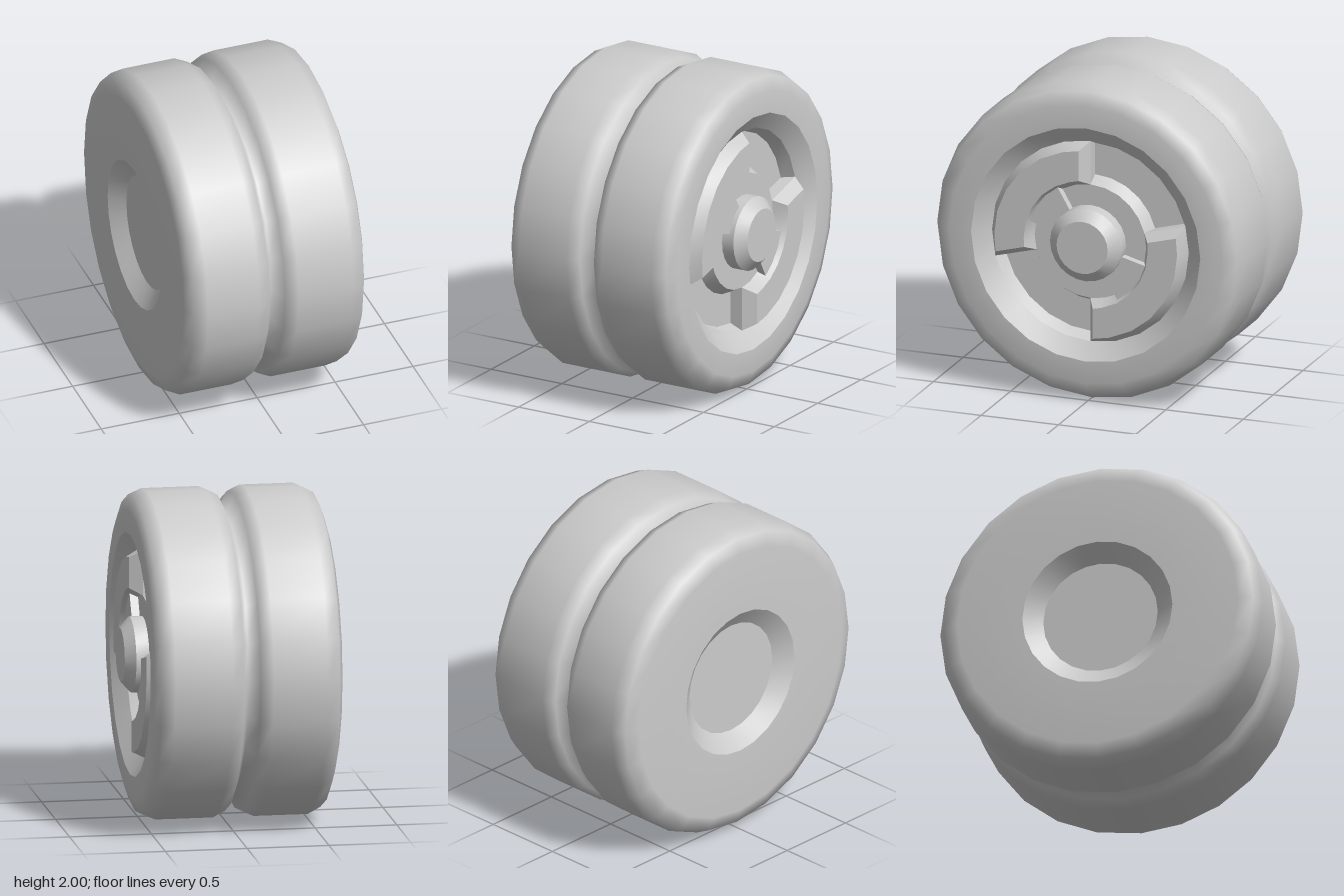
import * as THREE from 'three';
import { toCreasedNormals } from 'three/addons/utils/BufferGeometryUtils.js';

const SIDES = 24;
const STEP = 15; // degrees per side
const FACE = 0.545, BASE = 0.465, FLOOR = 0.385, WEDGE = 0.515; // x levels of the hub

const material = new THREE.MeshStandardMaterial({ color: 0xcccccc });

// Turned part about the x axis; profile points are [radius, x]
function turned(name, profile, smooth) {
  let geo = new THREE.LatheGeometry(profile.map(([r, x]) => new THREE.Vector2(r, x)), SIDES);
  geo.rotateZ(-Math.PI / 2);
  if (!smooth) geo = toCreasedNormals(geo, 0.45);
  const mesh = new THREE.Mesh(geo, material);
  mesh.name = name;
  return mesh;
}

// Arc-shaped pad or pocket swept from a0 to a1 degrees, closed at both ends.
// The two middle profile points are pulled in by `slant` at the ends.
function sector(name, profile, a0, a1, slant = 0) {
  const pos = [], idx = [];
  const n = Math.round((a1 - a0) / STEP);
  for (let i = 0; i <= n; i++) {
    const a = THREE.MathUtils.degToRad(a0 + i * STEP);
    const end = i === 0 ? 1 : i === n ? -1 : 0;
    profile.forEach(([r, x], j) => {
      const s = j === 1 || j === 2 ? slant * end : 0;
      pos.push(x, r * Math.sin(a) + s * Math.cos(a), -r * Math.cos(a) + s * Math.sin(a));
    });
  }
  for (let i = 0; i < n; i++) {
    for (let j = 0; j < 3; j++) {
      const p = i * 4 + j, q = p + 4;
      idx.push(p, p + 1, q + 1, p, q + 1, q);
    }
  }
  const e = n * 4;
  idx.push(0, 3, 2, 0, 2, 1, e, e + 1, e + 2, e, e + 2, e + 3);
  const geo = new THREE.BufferGeometry();
  geo.setAttribute('position', new THREE.Float32BufferAttribute(pos, 3));
  geo.setIndex(idx);
  const mesh = new THREE.Mesh(toCreasedNormals(geo, 0.45), material);
  mesh.name = name;
  return mesh;
}

export function createModel() {
  const wheel = new THREE.Group();
  wheel.name = 'doubleWheel';
  wheel.position.y = 1;

  // Twin tyre with a V groove between the treads
  wheel.add(turned('tyre', [
    [0.465, -0.605], [0.87, -0.605], [0.96, -0.575], [1, -0.495], [1, -0.165], [0.965, -0.09],
    [0.85, -0.035],
    [0.965, 0.01], [1, 0.085], [1, 0.435], [0.965, 0.515], [0.88, FACE], [0.74, FACE],
  ], true));

  // Recess in the back face
  wheel.add(turned('backRecess', [[0, -0.525], [0.355, -0.525], [0.465, -0.605]]));

  // Sloped rim and the central hub with its axle cap
  wheel.add(turned('rim', [[0.74, FACE], [0.635, BASE]]));
  wheel.add(turned('hubCap', [[0.36, BASE], [0.23, BASE], [0.23, FACE], [0.165, 0.605], [0, 0.605]]));

  // Raised pads, sunken pockets and small wedges, repeated at half a turn
  const pad = [[0.36, BASE], [0.4, FACE], [0.59, FACE], [0.635, BASE]];
  const pocket = [[0.36, BASE], [0.4, FLOOR], [0.6, FLOOR], [0.635, BASE]];
  const wedge = [[0.23, BASE], [0.23, WEDGE], [0.385, WEDGE], [0.36, BASE]];
  for (const turn of [0, 180]) {
    wheel.add(sector('raisedPad', pad, 90 + turn, 195 + turn, 0.045));
    wheel.add(sector('pocket', pocket, 15 + turn, 90 + turn));
    wheel.add(sector('hubWedge', wedge, 120 + turn, 165 + turn));
  }

  const model = new THREE.Group();
  model.add(wheel);
  return model;
}
